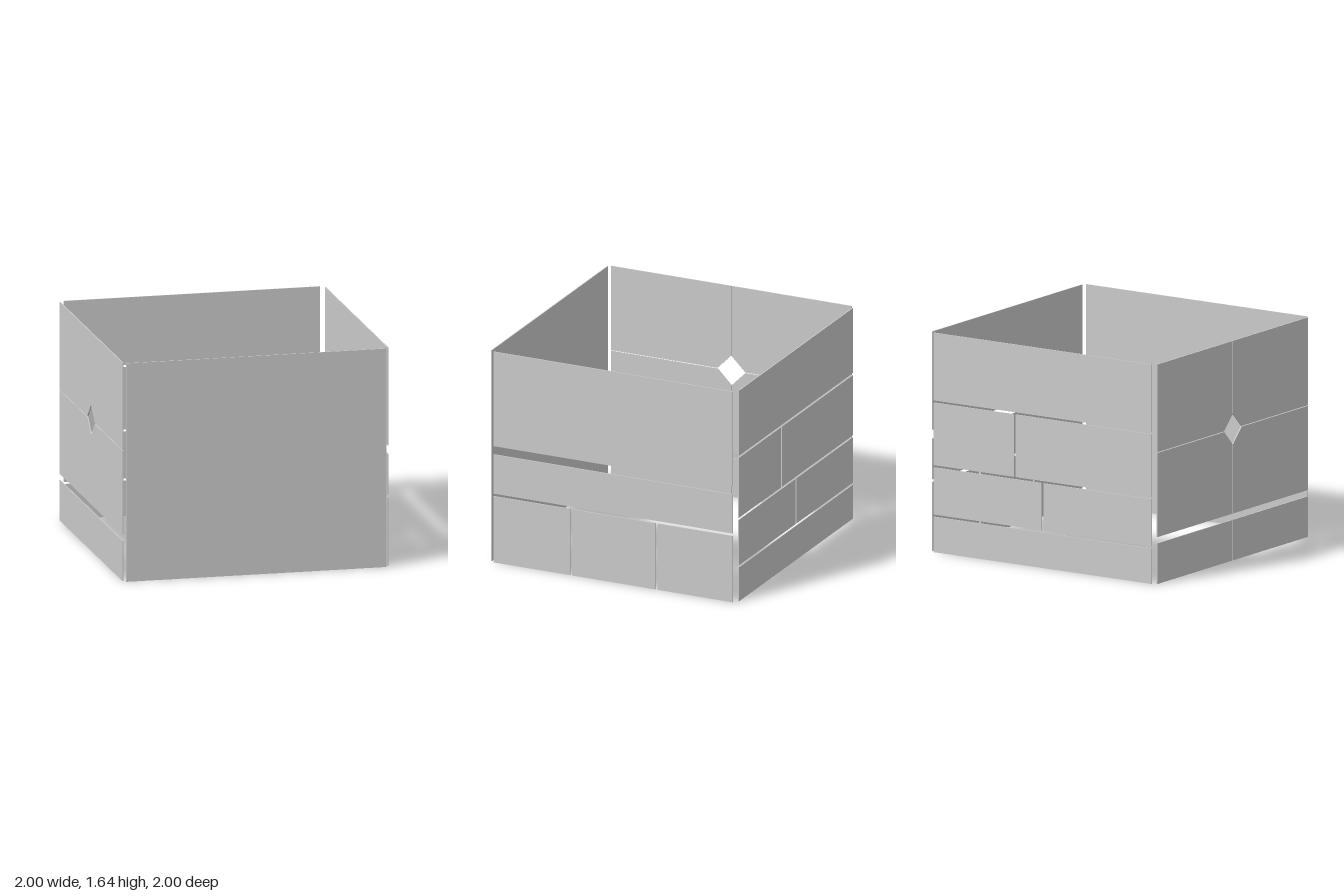
import * as THREE from 'three';

const T = 0.008;          // panel thickness
const H = 1.64;           // wall height
const D = 1 - T / 2;      // distance of each wall's mid-plane from the centre

const material = new THREE.MeshStandardMaterial({ color: 0xcccccc, flatShading: true, side: THREE.DoubleSide });

// Flat panel in the wall's own plane, from a list of [u, y] corners
function addPanel(wall, name, corners) {
  const shape = new THREE.Shape(corners.map(([u, y]) => new THREE.Vector2(u, y)));
  const geometry = new THREE.ExtrudeGeometry(shape, { depth: T, bevelEnabled: false });
  geometry.translate(0, 0, -T / 2);
  const mesh = new THREE.Mesh(geometry, material);
  mesh.name = name;
  wall.add(mesh);
}

function addRect(wall, name, u0, u1, y0, y1) {
  addPanel(wall, name, [[u0, y0], [u1, y0], [u1, y1], [u0, y1]]);
}

// Wall group facing outward; u runs to the right as seen from outside
function addWall(model, name, angle) {
  const wall = new THREE.Group();
  wall.name = name;
  wall.rotation.y = angle;
  wall.position.set(Math.sin(angle) * D, 0, Math.cos(angle) * D);
  model.add(wall);
  return wall;
}

export function createModel() {
  const model = new THREE.Group();
  model.name = 'panelledBox';

  // Front: one plain sheet
  const front = addWall(model, 'frontWall', 0);
  addRect(front, 'frontPanel', -0.978, 0.978, 0, H);

  // +x side (u = -z): tall panel, strip and three lower panels
  const left = addWall(model, 'leftWall', Math.PI / 2);
  addRect(left, 'upperPanel', -0.968, 0.968, 0.905, H);
  addRect(left, 'middleStrip', -0.968, 0.968, 0.535, 0.84);
  for (const [u0, u1] of [[-0.968, -0.351], [-0.335, 0.342], [0.36, 0.968]]) {
    addRect(left, 'lowerPanel', u0, u1, 0, 0.515);
  }

  // Back (u = -x): four courses, the two middle ones split
  const back = addWall(model, 'backWall', Math.PI);
  const W = 0.962, gap = 0.008;
  const courses = [
    [0, 0.265, []],
    [0.281, 0.634, [0]],
    [0.65, 1.118, [-0.245]],
    [1.134, H, []],
  ];
  for (const [y0, y1, splits] of courses) {
    const ends = [-W - gap, ...splits, W + gap];
    for (let i = 0; i + 1 < ends.length; i++) {
      addRect(back, 'backPanel', ends[i] + gap, ends[i + 1] - gap, y0, y1);
    }
  }

  // -x side (u = z): four panels with clipped corners around a diamond opening, two low panels
  const right = addWall(model, 'rightWall', -Math.PI / 2);
  const E = 0.974, seam = 0.003, midY = 0.982, clip = 0.113;
  for (const s of [-1, 1]) {
    for (const [dir, yEnd] of [[-1, 0.35], [1, H]]) {
      const y = midY + dir * seam;
      addPanel(right, 'clippedPanel', [
        [s * clip, y], [s * E, y], [s * E, yEnd], [s * seam, yEnd], [s * seam, midY + dir * clip],
      ]);
    }
    addRect(right, 'lowPanel', s < 0 ? -E : seam, s < 0 ? -seam : E, 0, 0.303);
  }

  return model;
}
